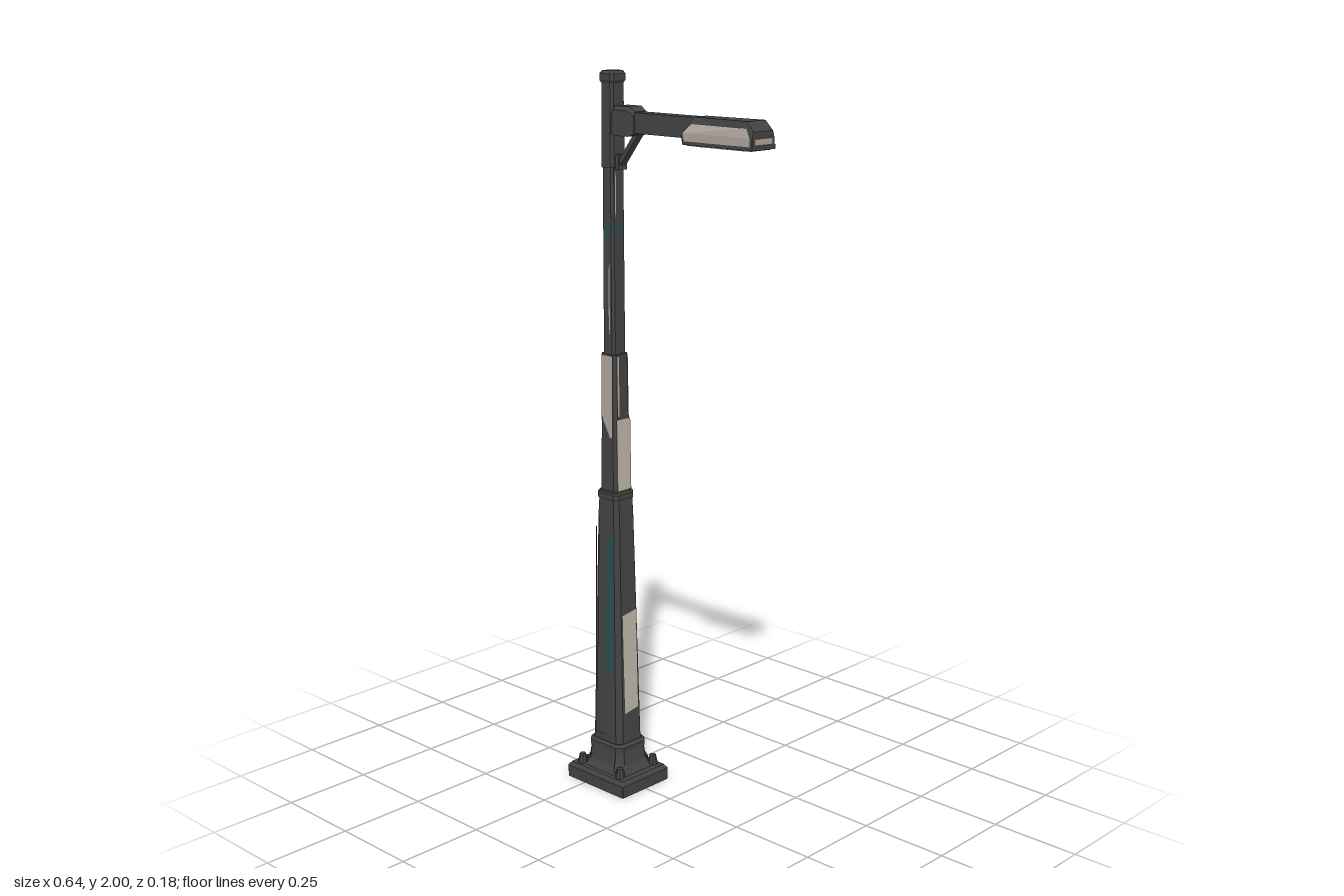
import * as THREE from 'three';

const mat = (name, color, side = THREE.FrontSide) =>
  Object.assign(new THREE.MeshStandardMaterial({ color, flatShading: true, side }), { name });

const PX = -0.208; // x of the pole axis

// Skin rings of points, each counter-clockwise around the sweep direction, with closed ends
function loft(rings) {
  const pos = [];
  const tri = (...p) => p.forEach((v) => pos.push(...v));
  for (let i = 0; i < rings.length - 1; i++) {
    const a = rings[i], b = rings[i + 1], n = a.length;
    for (let j = 0; j < n; j++) {
      const k = (j + 1) % n;
      tri(a[j], a[k], b[k]);
      tri(a[j], b[k], b[j]);
    }
  }
  const first = rings[0], last = rings[rings.length - 1];
  for (let j = 1; j < first.length - 1; j++) {
    tri(first[0], first[j + 1], first[j]);
    tri(last[0], last[j], last[j + 1]);
  }
  const g = new THREE.BufferGeometry();
  g.setAttribute('position', new THREE.Float32BufferAttribute(pos, 3));
  g.computeVertexNormals();
  return g;
}

// Chamfered rectangle around the pole axis
function octagon([y, hx, hz, chamfer = 0.3]) {
  const c = Math.min(hx, hz) * chamfer, x = hx - c, z = hz - c;
  return [[hx, z], [hx, -z], [x, -hz], [-x, -hz], [-hx, -z], [-hx, z], [-x, hz], [x, hz]]
    .map(([u, w]) => [PX + u, y, w]);
}

// Half sizes of the three pole stages: [y, half x, half z]
const LOWER = [[0.1, 0.058, 0.05], [0.8, 0.041, 0.038], [0.865, 0.037, 0.036]];
const MIDDLE = [[0.86, 0.033, 0.032], [1.25, 0.028, 0.028]];
const UPPER = [[1.24, 0.022, 0.025], [1.76, 0.02, 0.024]];
const SLEEVE = [[1.75, 0.024, 0.027], [1.975, 0.022, 0.025]];

function halfSize(stage, y, axis) {
  let i = 0;
  while (i < stage.length - 2 && y > stage[i + 1][0]) i++;
  const a = stage[i], b = stage[i + 1];
  return THREE.MathUtils.lerp(a[axis], b[axis], (y - a[0]) / (b[0] - a[0]));
}

// Thin outline laid on a tapered pole face; quarter turns: 0 front, 1 left, 2 back, 3 right
function facePlate(stage, turn, outline, lift = 0.002) {
  const g = new THREE.ShapeGeometry(new THREE.Shape(outline.map(([u, y]) => new THREE.Vector2(u, y))));
  const p = g.attributes.position;
  for (let i = 0; i < p.count; i++) p.setZ(i, halfSize(stage, p.getY(i), turn % 2 ? 1 : 2) + lift);
  g.rotateY(turn * Math.PI / 2).translate(PX, 0, 0);
  g.computeVertexNormals();
  return g;
}

const strip = (u0, u1, y0, y1, skew = 0) => [[u0, y0], [u1, y0 + skew], [u1, y1], [u0, y1 - skew]];

export function createModel() {
  const model = new THREE.Group();
  model.name = 'streetLamp';
  const iron = mat('charcoal iron', 0x434343);
  const dark = mat('dark iron', 0x2e2e2e, THREE.DoubleSide);
  const cream = mat('worn cream', 0xaea49b, THREE.DoubleSide);
  const pale = mat('pale sticker', 0xbdb5a6, THREE.DoubleSide);
  const teal = mat('faded teal', 0x1f5354, THREE.DoubleSide);
  const glass = mat('lamp glass', 0x8d8573, THREE.DoubleSide);

  const add = (name, geometry, material, parent = model) => {
    const m = new THREE.Mesh(geometry, material);
    m.name = name;
    parent.add(m);
    return m;
  };
  const group = (name) => {
    const g = new THREE.Group();
    g.name = name;
    model.add(g);
    return g;
  };
  const box = (name, x0, x1, y0, y1, hz, material, parent) =>
    add(name, new THREE.BoxGeometry(x1 - x0, y1 - y0, hz * 2)
      .translate((x0 + x1) / 2, (y0 + y1) / 2, 0), material, parent);

  // Base: chamfered foot, sloping plinth and collar
  const base = group('base');
  add('footPlate', loft([[0, 0.112, 0.092, 0.03], [0.034, 0.112, 0.092, 0.03], [0.045, 0.103, 0.084, 0.03]].map(octagon)), iron, base);
  add('plinth', loft([[0.04, 0.088, 0.074], [0.07, 0.07, 0.06], [0.115, 0.063, 0.055]].map(octagon)), iron, base);
  add('collar', loft([[0.108, 0.067, 0.058], [0.122, 0.067, 0.058], [0.13, 0.059, 0.051]].map(octagon)), iron, base);
  const gussetShape = new THREE.Shape([[0.04, 0.04], [0.09, 0.04], [0.087, 0.062], [0.07, 0.09], [0.066, 0.117], [0.04, 0.117]]
    .map(([r, y]) => new THREE.Vector2(r, y)));
  for (const sx of [-1, 1]) for (const sz of [-1, 1]) {
    const gusset = new THREE.ExtrudeGeometry(gussetShape, { depth: 0.018, bevelEnabled: false });
    gusset.translate(0, 0, -0.009).rotateY(Math.atan2(-sz, sx)).translate(PX, 0, 0);
    add('cornerGusset', gusset, iron, base);
    add('bolt', new THREE.CylinderGeometry(0.009, 0.015, 0.03, 8)
      .translate(PX + sx * 0.076, 0.058, sz * 0.066), iron, base);
  }

  // Pole stages
  const pole = group('pole');
  add('lowerPole', loft(LOWER.map((s) => octagon(s))), iron, pole);
  add('lowerRing', loft([[0.84, 0.037, 0.036], [0.848, 0.041, 0.039], [0.86, 0.041, 0.039], [0.868, 0.034, 0.033]].map(octagon)), iron, pole);
  add('middlePole', loft(MIDDLE.map((s) => octagon(s))), iron, pole);
  add('upperPole', loft(UPPER.map((s) => octagon(s))), iron, pole);
  add('topSleeve', loft(SLEEVE.map((s) => octagon(s))), iron, pole);
  add('topCap', loft([[1.968, 0.022, 0.025], [1.976, 0.027, 0.029], [1.992, 0.027, 0.029], [2, 0.021, 0.023]].map(octagon)), iron, pole);

  // Access covers with slanted tops, teal stripes beside them
  const paint = group('paintedPanels');
  for (const turn of [0, 2]) {
    const m = turn ? -1 : 1;
    const flip = (pts) => (m > 0 ? pts : pts.map(([u, y]) => [-u, y]).reverse());
    add('accessCover', facePlate(LOWER, turn, flip([[-0.032, 0.15], [0.004, 0.15], [0.004, 0.68], [-0.02, 0.79], [-0.024, 0.79]]), 0.003), iron, paint);
    add('coverSeam', facePlate(LOWER, turn, flip(strip(-0.037, -0.033, 0.14, 0.76)), 0.002), dark, paint);
    add('tealStripe', facePlate(LOWER, turn, flip([[0.006, 0.36], [0.026, 0.32], [0.025, 0.75], [0.006, 0.72]])), teal, paint);
  }
  // Weathered stickers on the pole faces
  add('lowSticker', facePlate(LOWER, 1, strip(-0.026, 0.026, 0.22, 0.52, 0.008)), pale, paint);
  add('middleSticker', facePlate(MIDDLE, 1, strip(-0.026, 0.026, 0.87, 1.07)), pale, paint);
  add('cornerSticker', facePlate(MIDDLE, 1, strip(-0.021, -0.014, 1.08, 1.245)), cream, paint);
  add('frontSticker', facePlate(MIDDLE, 0, [[-0.021, 1.08], [0.012, 1.02], [0.021, 1.02], [0.02, 1.246], [-0.02, 1.246]]), cream, paint);
  add('backSticker', facePlate(MIDDLE, 2, [[-0.021, 1.06], [0.021, 1.1], [0.02, 1.246], [-0.02, 1.246]]), cream, paint);
  add('sideSticker', facePlate(MIDDLE, 3, [[-0.021, 1.1], [0.021, 1.06], [0.02, 1.246], [-0.02, 1.246]]), cream, paint);
  add('tealChip', facePlate(UPPER, 0, strip(-0.005, 0.013, 1.57, 1.6, 0.006)), teal, paint);
  add('tealChip', facePlate(UPPER, 1, strip(-0.012, 0.01, 1.58, 1.6, 0.006)), teal, paint);
  add('wornStreak', facePlate(UPPER, 0, strip(0.006, 0.01, 1.3, 1.5, 0.02)), cream, paint);
  add('wornStreak', facePlate(UPPER, 1, strip(-0.016, -0.012, 1.62, 1.74, 0.02)), cream, paint);

  // Arm with clamp and diagonal brace
  const arm = group('arm');
  add('clampBlock', loft([[-0.19, 0.024, 1.84, 1.9], [-0.175, 0.031, 1.836, 1.912], [-0.125, 0.031, 1.836, 1.912], [-0.105, 0.026, 1.842, 1.9]]
    .map(([x, w, lo, hi]) => [[x, hi, w * 0.75], [x, hi - 0.01, w], [x, lo, w], [x, lo, -w], [x, hi - 0.01, -w], [x, hi, -w * 0.75]])), iron, arm);
  box('armBeam', -0.12, 0.13, 1.845, 1.898, 0.022, iron, arm);
  const dx = 0.075, dy = 0.095;
  add('brace', new THREE.BoxGeometry(Math.hypot(dx, dy), 0.013, 0.022)
    .rotateZ(Math.atan2(dy, dx)).translate(-0.1475, 1.797, 0), iron, arm);
  box('braceFoot', -0.19, -0.172, 1.745, 1.785, 0.015, iron, arm);

  // Lamp head: housing flares toward the tip
  const head = group('lampHead');
  const headRing = ([x, shoulder, top, tw]) => [[x, top, tw], [x, shoulder, 0.042], [x, 1.84, 0.042],
    [x, 1.84, -0.042], [x, shoulder, -0.042], [x, top, -tw]];
  add('housing', loft([[0.08, 1.856, 1.864, 0.038], [0.105, 1.86, 1.9, 0.022], [0.29, 1.86, 1.9, 0.034], [0.313, 1.858, 1.876, 0.036]].map(headRing)), iron, head);
  box('bottomRim', 0.082, 0.315, 1.831, 1.842, 0.043, iron, head);
  box('tipPanel', 0.312, 0.3155, 1.843, 1.859, 0.034, cream, head);
  for (const s of [-1, 1]) {
    // Cream diffuser: upright strip below, sloping strip above
    const row = (y, z0, z1, x0, x1) => [[x0, y, s * z0], [x1, y, s * z1]];
    const rows = [row(1.84, 0.0445, 0.0445, 0.09, 0.308), row(1.861, 0.0445, 0.0445, 0.083, 0.308), row(1.884, 0.033, 0.0395, 0.105, 0.292)];
    const pos = [];
    for (let i = 0; i < 2; i++) {
      const [a, b] = rows[i], [d, c] = rows[i + 1];
      for (const v of s > 0 ? [a, b, c, a, c, d] : [a, c, b, a, d, c]) pos.push(...v);
    }
    const g = new THREE.BufferGeometry();
    g.setAttribute('position', new THREE.Float32BufferAttribute(pos, 3));
    g.computeVertexNormals();
    add('sideDiffuser', g, cream, head);
  }
  box('lensFrame', 0.092, 0.305, 1.8285, 1.832, 0.037, cream, head);
  box('lens', 0.115, 0.275, 1.827, 1.83, 0.028, glass, head);
  return model;
}
